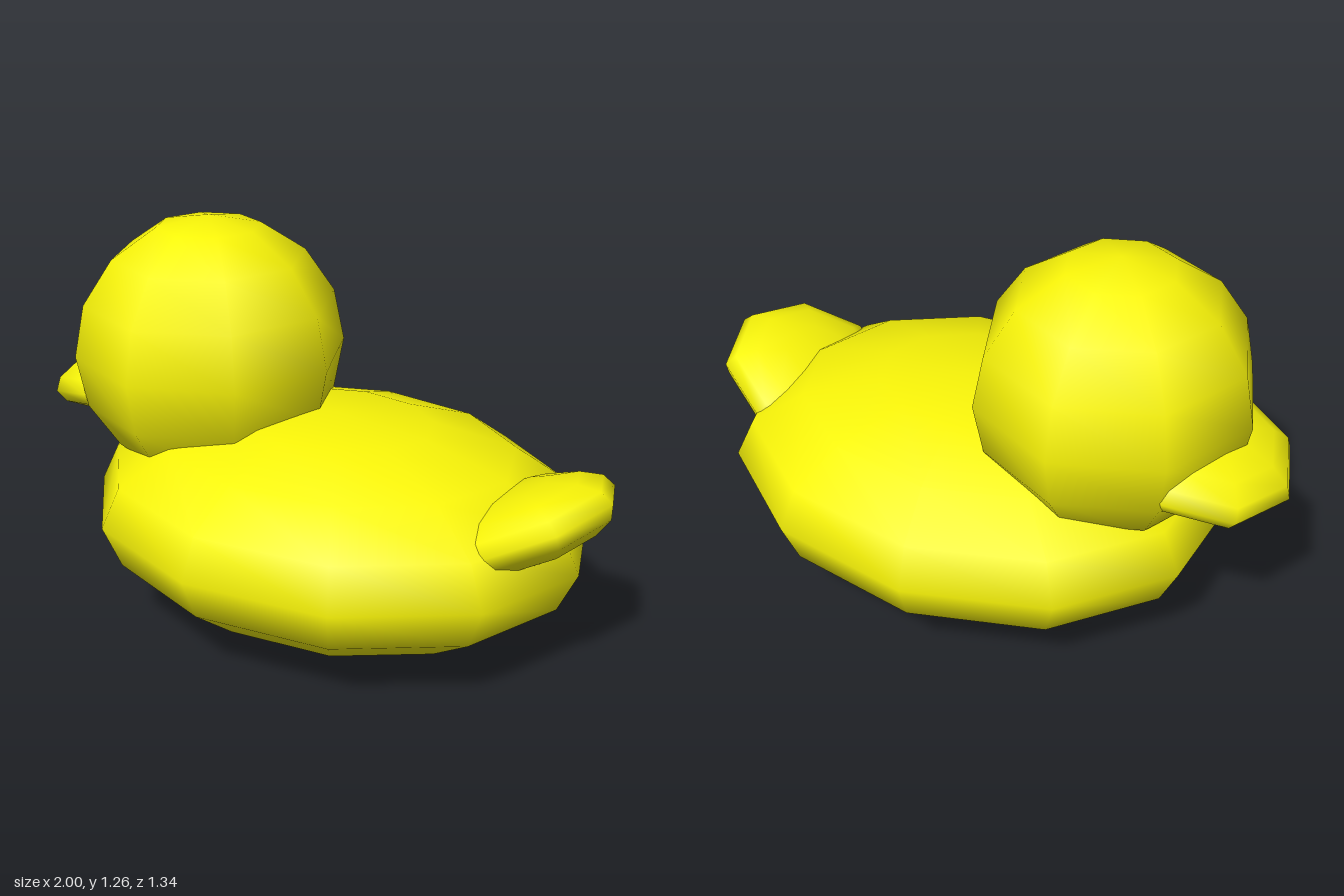
import * as THREE from 'three';

const yellow = new THREE.MeshStandardMaterial({ color: 0xf8f408 });

// Smooth-shaded low-poly ellipsoid, with a column of vertices on its +x side
function ellipsoid(name, sides, radii, position, tilt = 0) {
  const geometry = new THREE.SphereGeometry(1, sides, 8);
  geometry.rotateY(Math.PI);
  geometry.scale(...radii);
  const mesh = new THREE.Mesh(geometry, yellow);
  mesh.name = name;
  mesh.position.set(...position);
  mesh.rotation.z = tilt;
  return mesh;
}

export function createModel() {
  const duck = new THREE.Group();
  duck.name = 'duck';
  const deg = THREE.MathUtils.degToRad;

  duck.add(
    // Wide flattened body
    ellipsoid('body', 11, [0.847, 0.348, 0.677], [0.063, 0.352, 0]),
    // Round head over the breast
    ellipsoid('head', 8, [0.445, 0.446, 0.445], [-0.42, 0.822, 0]),
    // Flat bill sloping down from the head
    ellipsoid('bill', 8, [0.29, 0.11, 0.3], [-0.72, 0.69, 0], deg(15)),
    // Flat tail turned up at the end
    ellipsoid('tail', 8, [0.3, 0.115, 0.3], [0.728, 0.48, 0], deg(25)),
  );
  return duck;
}
